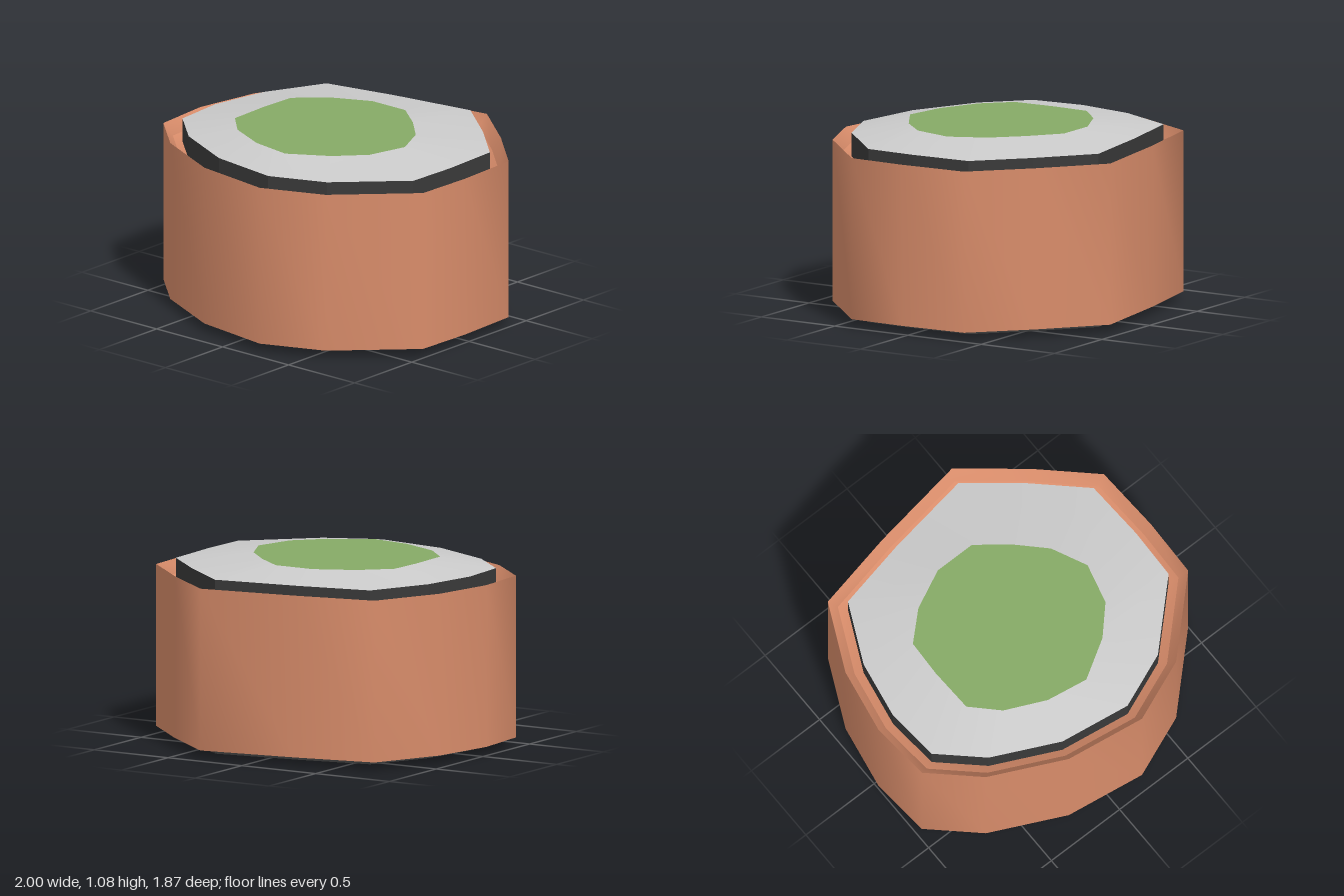
import * as THREE from 'three';

// Irregular 14-sided outlines as [x, z], clockwise seen from above
const OUTER = [[0.32, -0.94], [0.67, -0.66], [0.98, -0.37], [1, 0.04], [0.99, 0.39], [0.59, 0.78], [0.22, 0.93],
  [-0.26, 0.86], [-0.7, 0.65], [-0.97, 0.4], [-1, 0.04], [-0.93, -0.35], [-0.74, -0.75], [-0.26, -0.85]];
const PLATEAU = [[0.1, -0.48], [0.28, -0.34], [0.44, -0.18], [0.54, 0.03], [0.48, 0.27], [0.33, 0.43], [0.1, 0.57],
  [-0.15, 0.53], [-0.39, 0.42], [-0.54, 0.27], [-0.55, 0], [-0.54, -0.22], [-0.38, -0.37], [-0.15, -0.48]];

// Strip through closed rings given as [outline, scale, y], listed from the bottom up and over the outside
function loft(rings) {
  const n = OUTER.length, positions = [], index = [];
  for (const [outline, scale, y] of rings) {
    for (const [x, z] of outline) positions.push(x * scale, y, z * scale);
  }
  for (let r = 0; r < rings.length - 1; r++) {
    for (let i = 0; i < n; i++) {
      const a = r * n + i, a2 = r * n + (i + 1) % n;
      index.push(a, a + n, a2 + n, a, a2 + n, a2);
    }
  }
  const geometry = new THREE.BufferGeometry();
  geometry.setAttribute('position', new THREE.Float32BufferAttribute(positions, 3));
  geometry.setIndex(index);
  geometry.computeVertexNormals();
  return geometry;
}

export function createModel() {
  const model = new THREE.Group();
  const copper = new THREE.MeshStandardMaterial({ color: 0xd88c6a });
  const grey = new THREE.MeshStandardMaterial({ color: 0xcccccc });
  const dark = new THREE.MeshStandardMaterial({ color: 0x3a3a3a, flatShading: true });
  const green = new THREE.MeshStandardMaterial({ color: 0x86aa66 });

  const add = (name, material, ...rings) => {
    const mesh = new THREE.Mesh(loft(rings), material);
    mesh.name = name;
    model.add(mesh);
  };

  // Copper band with a sharp lip turning inward at both ends
  add('bandWall', copper, [OUTER, 1, 0.05], [OUTER, 1, 0.99]);
  add('topLip', copper, [OUTER, 1, 0.99], [OUTER, 0.945, 0.92]);
  add('topLedge', copper, [OUTER, 0.945, 0.92], [OUTER, 0.885, 0.89]);
  add('bottomLip', copper, [OUTER, 0.945, 0.12], [OUTER, 1, 0.05]);
  add('bottomLedge', copper, [OUTER, 0.885, 0.15], [OUTER, 0.945, 0.12]);

  // Dark core running through the band
  add('coreSide', dark, [OUTER, 0.89, 0.02], [OUTER, 0.89, 1.03]);

  // Sloped grey faces with a flat green centre, top and bottom
  add('topSlope', grey, [OUTER, 0.89, 1.03], [PLATEAU, 1, 1.08]);
  add('topCentre', green, [PLATEAU, 1, 1.08], [PLATEAU, 0, 1.08]);
  add('bottomSlope', grey, [PLATEAU, 0.85, 0], [OUTER, 0.89, 0.02]);
  add('bottomCentre', green, [PLATEAU, 0, 0], [PLATEAU, 0.85, 0]);

  return model;
}
